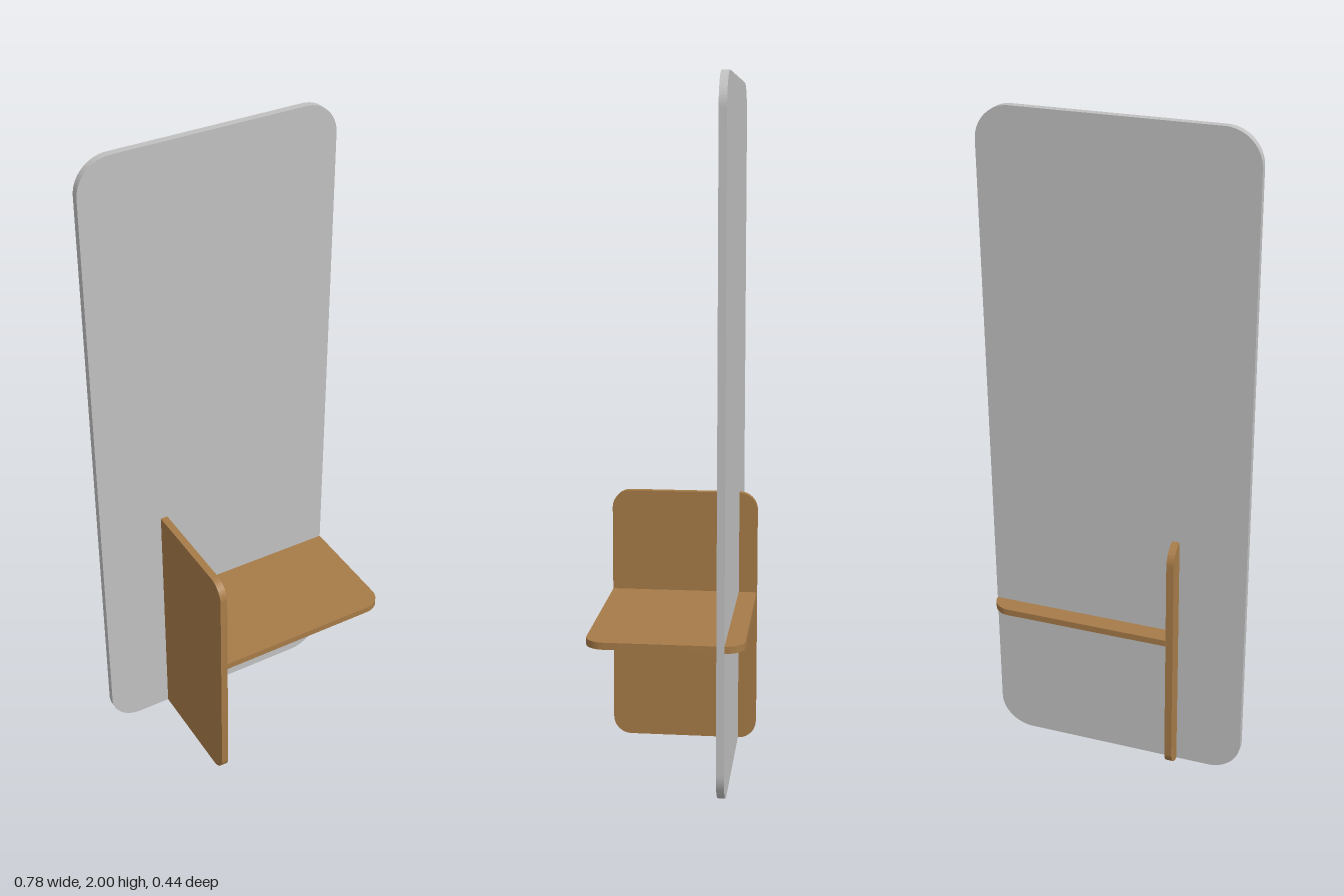
import * as THREE from 'three';
import { toCreasedNormals } from 'three/addons/utils/BufferGeometryUtils.js';

// Flat board centred on the origin, facing z, with separate left and right corner radii
function board(width, height, depth, rLeft, rRight) {
  const x = width / 2, y = height / 2;
  const s = new THREE.Shape();
  s.moveTo(-x + rLeft, -y);
  s.lineTo(x - rRight, -y);
  s.absarc(x - rRight, -y + rRight, rRight, -Math.PI / 2, 0);
  s.lineTo(x, y - rRight);
  s.absarc(x - rRight, y - rRight, rRight, 0, Math.PI / 2);
  s.lineTo(-x + rLeft, y);
  if (rLeft > 0) s.absarc(-x + rLeft, y - rLeft, rLeft, Math.PI / 2, Math.PI);
  s.lineTo(-x, -y + rLeft);
  if (rLeft > 0) s.absarc(-x + rLeft, -y + rLeft, rLeft, Math.PI, Math.PI * 1.5);
  const g = new THREE.ExtrudeGeometry(s, { depth, bevelEnabled: false, curveSegments: 16 });
  g.translate(0, 0, -depth / 2);
  return toCreasedNormals(g, 0.6);
}

export function createModel() {
  const group = new THREE.Group();
  const glass = new THREE.MeshStandardMaterial({ color: 0xc0c0c0 });
  glass.name = 'mirror grey';
  const wood = new THREE.MeshStandardMaterial({ color: 0xa67b48 });
  wood.name = 'wood brown';

  const add = (name, geometry, material, x, y, z) => {
    const mesh = new THREE.Mesh(geometry, material);
    mesh.name = name;
    mesh.position.set(x, y, z);
    group.add(mesh);
  };

  // Tall upright panel
  add('mirrorPanel', board(0.778, 2, 0.022, 0.1, 0.1), glass, 0, 1, -0.156);

  // Side board crossing the panel, standing on the floor
  add('sideBoard', board(0.444, 0.778, 0.022, 0.055, 0.055).rotateY(-Math.PI / 2), wood, -0.178, 0.389, 0);

  // Shelf, square against the side board and rounded at its free end
  add('shelf', board(0.555, 0.442, 0.02, 0, 0.055).rotateX(-Math.PI / 2), wood, 0.1115, 0.458, 0);

  return group;
}
